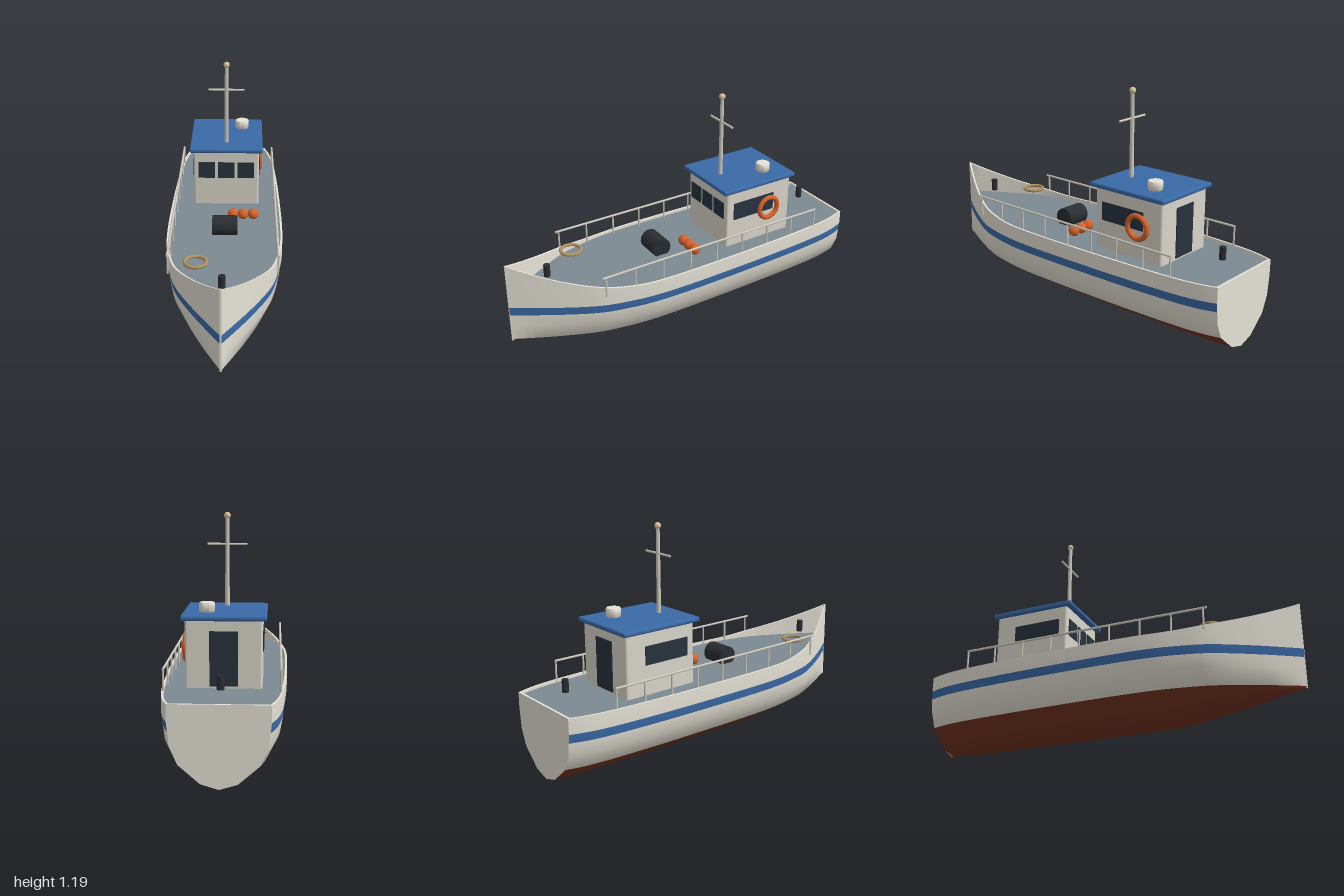
import * as THREE from 'three';
import { toCreasedNormals } from 'three/addons/utils/BufferGeometryUtils.js';
import { RoundedBoxGeometry } from 'three/addons/geometries/RoundedBoxGeometry.js';

const paint = (color, extra = {}) => Object.assign(new THREE.MeshStandardMaterial({ color }), extra);
const IVORY = paint(0xe6e2d6), BLUE = paint(0x3a6aa6), RED = paint(0x73331f), DECK = paint(0x7d8a93);
const HOUSE = paint(0xd9d5ca), GLASS = paint(0x28323d), DARK = paint(0x2a2d31), ORANGE = paint(0xd8622a);
const ROPE = paint(0xb0925f), METAL = paint(0xcfcabd), BRASS = paint(0xd9c49a);
const IVORY_THIN = paint(0xe6e2d6, { side: THREE.DoubleSide });

const DECK_Y = 0.375;
const sheer = z => 0.39 + 0.165 * Math.max(0, (z - 0.3) / 0.7) ** 2;
const keel = z => 0.105 * Math.max(0, (z - 0.33) / 0.67);

// Plan outline: z against half beam, stern to stem
const stations = new THREE.SplineCurve([
  [-1, 0.232], [-0.9, 0.262], [-0.76, 0.282], [-0.5, 0.298], [-0.2, 0.307], [0.1, 0.31],
  [0.3, 0.302], [0.45, 0.278], [0.6, 0.235], [0.8, 0.13], [1, 0.004],
].map(p => new THREE.Vector2(...p))).getPoints(60);

// Half section from sheer to keel: [x, y]
function halfSection(z, beam) {
  const k = keel(z), low = y => k + y / 0.115 * (0.115 - k);
  return [
    [1, sheer(z)], [1, 0.31], [0.98, 0.265], [0.95, 0.2],
    [0.79, 0.115], [0.36, low(0.028)], [0, low(0.003)],
  ].map(([f, y]) => [f * beam, y]);
}
function fullSection(z, beam) {
  const half = halfSection(z, beam);
  return [...half, ...half.slice(0, -1).reverse().map(([x, y]) => [-x, y])];
}

// Skins the sections along z; band(j) picks the material of each lengthwise strip
function loft(section, band) {
  const rows = stations.map(s => section(s.x, s.y)), n = rows[0].length;
  const pos = [], index = [], geo = new THREE.BufferGeometry();
  rows.forEach((row, i) => row.forEach(([x, y]) => pos.push(x, y, stations[i].x)));
  for (let j = 0; j < n - 1; j++) {
    const start = index.length;
    for (let i = 0; i < rows.length - 1; i++) {
      const a = i * n + j, c = a + n;
      index.push(a, c, a + 1, c, c + 1, a + 1);
    }
    if (band) geo.addGroup(start, index.length - start, band(j));
  }
  geo.setAttribute('position', new THREE.Float32BufferAttribute(pos, 3));
  geo.setIndex(index);
  geo.computeVertexNormals();
  return geo;
}

function add(parent, name, geo, material, x = 0, y = 0, z = 0) {
  const mesh = new THREE.Mesh(geo, material);
  mesh.name = name;
  mesh.position.set(x, y, z);
  parent.add(mesh);
  return mesh;
}
const box = (w, h, d) => new THREE.BoxGeometry(w, h, d);
const rod = (r, h, sides = 16) => new THREE.CylinderGeometry(r, r, h, sides);

function buildHull() {
  const hull = new THREE.Group();
  hull.name = 'hull';
  // Shell: ivory, blue stripe, ivory, red bottom, mirrored
  const bands = [0, 1, 0, 0, 2, 2, 2, 2, 0, 0, 1, 0];
  add(hull, 'hullShell', loft(fullSection, j => bands[j]), [IVORY, BLUE, RED]);
  // Rim and inner face of the bulwarks
  for (const s of [1, -1]) {
    const rim = loft((z, b) => {
      const inner = Math.max(0, b - 0.011);
      return [[s * inner, DECK_Y - 0.01], [s * inner, sheer(z)], [s * b, sheer(z)]];
    });
    add(hull, 'bulwark', toCreasedNormals(rim, 0.6), IVORY_THIN);
  }
  add(hull, 'deck', loft((z, b) => [[0.004 - b, DECK_Y], [b - 0.004, DECK_Y]]), DECK);
  // Transom plate and stem post
  const shape = new THREE.Shape(fullSection(-1, stations[0].y).map(p => new THREE.Vector2(...p)));
  add(hull, 'transom', new THREE.ExtrudeGeometry(shape, { depth: 0.012, bevelEnabled: false }), IVORY, 0, 0, -1);
  add(hull, 'stem', box(0.009, 0.45, 0.012), IVORY, 0, 0.33, 0.994);
  return hull;
}

function buildWheelhouse() {
  const house = new THREE.Group();
  house.name = 'wheelhouse';
  add(house, 'cabin', new RoundedBoxGeometry(0.37, 0.345, 0.425, 3, 0.012), HOUSE, 0, 0.535, -0.422);
  add(house, 'roof', new RoundedBoxGeometry(0.41, 0.026, 0.475, 3, 0.01), BLUE, 0, 0.713, -0.418);
  for (const x of [-0.111, 0, 0.111]) add(house, 'frontWindow', box(0.093, 0.095, 0.01), GLASS, x, 0.587, -0.209);
  for (const s of [1, -1]) add(house, 'sideWindow', box(0.01, 0.098, 0.265), GLASS, s * 0.185, 0.581, -0.387);
  add(house, 'door', box(0.135, 0.265, 0.01), GLASS, 0, 0.518, -0.635);
  const buoy = add(house, 'lifebuoy', new THREE.TorusGeometry(0.06, 0.014, 14, 36), ORANGE, 0.192, 0.547, -0.487);
  buoy.rotation.y = Math.PI / 2;
  // Roof vent with softened edges
  const vent = [[0, 0], [0.034, 0], [0.038, 0.006], [0.039, 0.043], [0.036, 0.048], [0, 0.05]];
  add(house, 'roofVent', toCreasedNormals(new THREE.LatheGeometry(vent.map(p => new THREE.Vector2(...p)), 28), 0.9),
    IVORY, 0.087, 0.725, -0.515);
  // Mast
  add(house, 'mast', new THREE.CylinderGeometry(0.01, 0.012, 0.46, 16), METAL, 0, 0.945, -0.29);
  add(house, 'mastBall', new THREE.SphereGeometry(0.017, 20, 14), BRASS, 0, 1.18, -0.29);
  add(house, 'crossbar', rod(0.006, 0.2, 12), METAL, 0, 1.037, -0.29).rotation.z = Math.PI / 2;
  return house;
}

function buildRailing(side) {
  const rail = new THREE.Group();
  rail.name = side > 0 ? 'leftRailing' : 'rightRailing';
  const x = side * 0.273;
  add(rail, 'handrail', rod(0.006, 1.36, 10), METAL, x, 0.492, -0.08).rotation.x = Math.PI / 2;
  for (let i = 0; i < 9; i++) add(rail, 'railPost', rod(0.005, 0.112, 10), METAL, x, 0.436, 0.58 - i * 0.167);
  return rail;
}

function buildDeckGear() {
  const gear = new THREE.Group();
  gear.name = 'deckGear';
  add(gear, 'winchDrum', rod(0.054, 0.135, 28), DARK, 0, 0.415, 0.132).rotation.z = Math.PI / 2;
  for (const x of [0.042, 0.098, 0.154]) add(gear, 'float', new THREE.SphereGeometry(0.03, 20, 14), ORANGE, x, 0.405, -0.025);
  add(gear, 'ropeCoil', new THREE.TorusGeometry(0.054, 0.009, 10, 32), ROPE, -0.135, 0.446, 0.577).rotation.x = Math.PI / 2;
  for (const z of [0.777, -0.868]) add(gear, 'bollard', rod(0.017, 0.066), DARK, 0, 0.458, z);
  return gear;
}

export function createModel() {
  const boat = new THREE.Group();
  boat.name = 'fishingBoat';
  boat.add(buildHull(), buildWheelhouse(), buildRailing(1), buildRailing(-1), buildDeckGear());
  return boat;
}
